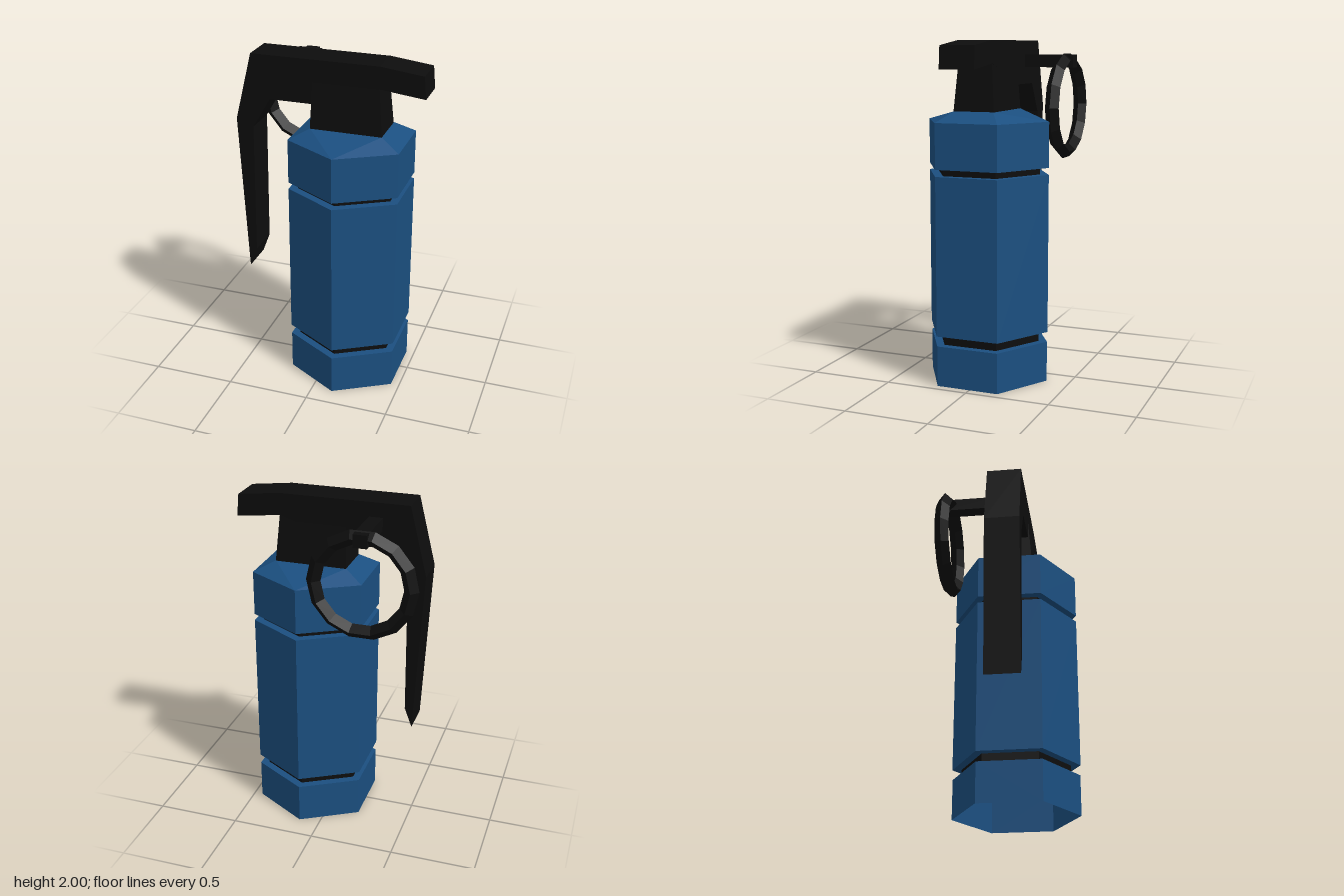
import * as THREE from 'three';
import { ConvexGeometry } from 'three/addons/geometries/ConvexGeometry.js';

const CX = 0.125, CZ = 0.013, R = 0.378, CORE_R = 0.323;

export function createModel() {
  const model = new THREE.Group();
  model.name = 'canister';
  const blue = new THREE.MeshStandardMaterial({ color: 0x1b4f80, flatShading: true });
  const blueOpen = blue.clone();
  blueOpen.side = THREE.DoubleSide;
  const black = new THREE.MeshStandardMaterial({ color: 0x0d0d0d, flatShading: true });

  const add = (name, geometry, material, x = 0, y = 0, z = 0) => {
    const mesh = new THREE.Mesh(geometry, material);
    mesh.name = name;
    mesh.position.set(x, y, z);
    model.add(mesh);
    return mesh;
  };
  // Six-sided prism between two heights on the body axis
  const prism = (name, r, y0, y1, material) =>
    add(name, new THREE.CylinderGeometry(r, r, y1 - y0, 6), material, CX, (y0 + y1) / 2, CZ);
  // Corners of a rectangle at height y
  const rect = (x0, x1, z0, z1, y) => [[x0, z0], [x1, z0], [x1, z1], [x0, z1]]
    .map(([x, z]) => new THREE.Vector3(x, y, z));

  // Body: hollow base cup, two blue sections, dark core showing in the grooves
  const cup = [[R - 0.003, 0], [R - 0.003, 0.24], [CORE_R - 0.02, 0.24]].map(p => new THREE.Vector2(...p));
  add('baseCup', new THREE.LatheGeometry(cup, 6), blueOpen, CX, 0, CZ);
  prism('core', CORE_R, 0.237, 1.4, black);
  prism('mainSection', R, 0.3, 1.235, blue);
  prism('upperSection', R, 1.275, 1.54, blue);

  // Shoulder: hexagon rising to the rectangular neck
  const hex = [];
  for (let i = 0; i < 6; i++) {
    const a = i * Math.PI / 3;
    hex.push(new THREE.Vector3(CX + R * Math.sin(a), 1.54, CZ + R * Math.cos(a)));
  }
  add('shoulder', new ConvexGeometry([...hex, ...rect(-0.09, 0.335, -0.105, 0.135, 1.6)]), blue);

  // Neck: tapered block under the lever
  add('neck', new ConvexGeometry([
    ...rect(-0.09, 0.335, -0.109, 0.138, 1.598),
    ...rect(-0.08, 0.31, -0.088, 0.116, 1.88),
  ]), black);

  // Lever: side outline extruded across z
  const outline = [
    [-0.45, 2], [-0.55, 1.6], [-0.5, 0.63], [-0.455, 0.75], [-0.447, 1.56], [-0.34, 1.74],
    [-0.08, 1.74], [0.31, 1.87], [0.572, 1.84], [0.56, 1.97], [0.31, 2],
  ].map(p => new THREE.Vector2(...p));
  add('lever', new THREE.ExtrudeGeometry(new THREE.Shape(outline), { depth: 0.208, bevelEnabled: false }),
    black, 0, 0, -0.091);

  // Pin and pull ring at the back
  add('pin', new THREE.BoxGeometry(0.08, 0.075, 0.335), black, -0.255, 1.878, -0.228);
  add('pullRing', new THREE.TorusGeometry(0.278, 0.042, 4, 14), black, -0.255, 1.61, -0.345);

  return model;
}
